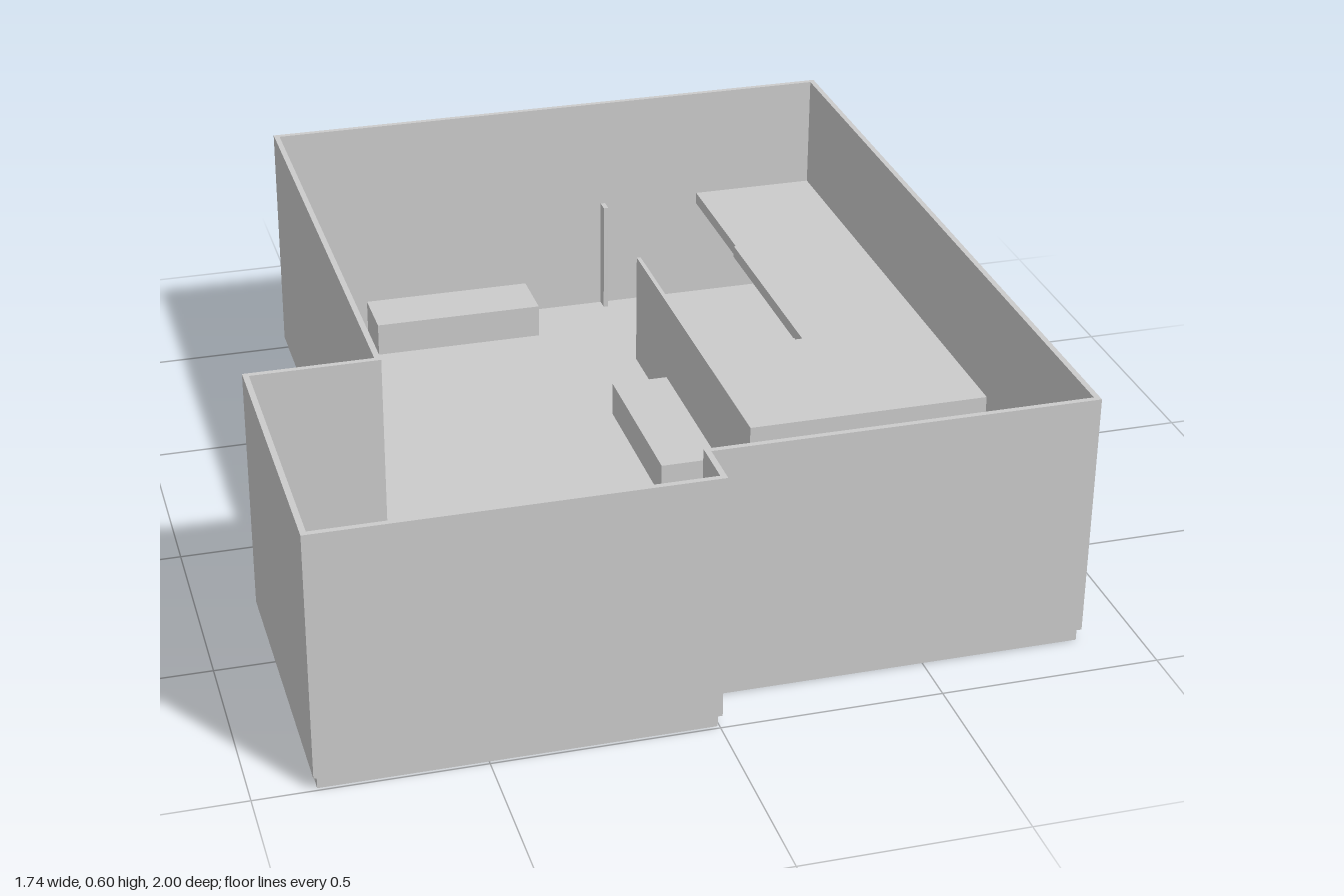
import * as THREE from 'three';

const material = new THREE.MeshStandardMaterial({ color: 0xcccccc, flatShading: true });

// Building outline in plan as [x, z], moved inwards by t
const outline = (t) => [
  [-0.58 + t, 0.29 + t], [-0.87 + t, 0.29 + t], [-0.87 + t, 1 - t], [0.004 - t, 1 - t],
  [0.004 - t, 0.884 - t], [0.87 - t, 0.884 - t], [0.87 - t, -1 + t], [-0.58 + t, -1 + t],
];

export function createModel() {
  const model = new THREE.Group();

  const add = (name, geometry) => {
    const mesh = new THREE.Mesh(geometry, material);
    mesh.name = name;
    model.add(mesh);
    return mesh;
  };

  // Upright prism from a plan of [x, z] points; a hole runs the opposite way round
  const prism = (name, plan, y0, y1, hole) => {
    const points = (list) => list.map(([x, z]) => new THREE.Vector2(x, -z));
    const shape = new THREE.Shape(points(plan));
    if (hole) shape.holes.push(new THREE.Path(points(hole).reverse()));
    const geometry = new THREE.ExtrudeGeometry(shape, { depth: y1 - y0, bevelEnabled: false });
    geometry.rotateX(-Math.PI / 2).translate(0, y0, 0);
    return add(name, geometry);
  };

  // Box given by its limits
  const block = (name, x0, x1, y0, y1, z0, z1) => {
    const geometry = new THREE.BoxGeometry(x1 - x0, y1 - y0, z1 - z0);
    geometry.translate((x0 + x1) / 2, (y0 + y1) / 2, (z0 + z1) / 2);
    return add(name, geometry);
  };

  const floorY = 0.03, loftY = 0.32, loftUnder = 0.29, seatY = 0.115;

  // Shell: floor slab and thin outer walls
  prism('floor', outline(0.008), 0, floorY);
  prism('outerWalls', outline(0), floorY, 0.605, outline(0.013));

  // Loft deck with the stairwell cut out
  prism('loftDeck', [
    [0.28, 0.31], [0.857, 0.31], [0.857, -0.987], [0.545, -0.987],
    [0.545, -0.637], [0.54, -0.637], [0.54, -0.09], [0.29, -0.09], [0.29, -0.637], [0.28, -0.637],
  ], loftUnder, loftY);

  // Partition walls below the loft, with a doorway at the back
  block('partitionSide', 0.28, 0.29, floorY, loftUnder, -0.637, 0.31);
  block('partitionFront', 0.29, 0.857, floorY, loftUnder, 0.3, 0.31);
  block('doorJamb', 0.28, 0.292, floorY, loftY, -0.987, -0.955);

  // Staircase rising towards the front: stepped top, sloping underside
  const steps = 10, z0 = -0.637, z1 = -0.09, run = 0.0572, rise = (loftY - floorY) / (steps + 1);
  const profile = new THREE.Shape();
  profile.moveTo(z0, floorY);
  for (let i = 0; i < steps; i++) {
    const height = floorY + (i + 1) * rise;
    profile.lineTo(Math.max(z0, z1 - (steps - i) * run), height);
    profile.lineTo(z1 - (steps - i - 1) * run, height);
  }
  profile.lineTo(z1, loftUnder - 0.04);
  profile.lineTo(z0 + run, floorY);
  const stairs = new THREE.ExtrudeGeometry(profile, { depth: 0.25, bevelEnabled: false });
  stairs.rotateY(-Math.PI / 2).translate(0.54, 0, 0);
  add('staircase', stairs);

  // Kitchen: matching L-shaped counter and wall cabinets, plus an island
  const cornerPlan = [
    [0.29, 0.78], [0.763, 0.78], [0.763, 0.488], [0.857, 0.488], [0.857, 0.871], [0.29, 0.871],
  ];
  prism('kitchenCounter', cornerPlan, floorY, seatY);
  prism('wallCabinets', cornerPlan, 0.21, 0.288);
  block('kitchenIsland', 0.343, 0.6, floorY, 0.11, 0.52, 0.633);

  // Low furniture blocks
  block('backBench', -0.36, 0.07, floorY, seatY, -0.98, -0.835);
  block('sideBench', 0.14, 0.28, floorY, seatY, -0.36, 0.075);
  block('frontBench', -0.65, -0.22, floorY, seatY, 0.573, 0.718);

  return model;
}
